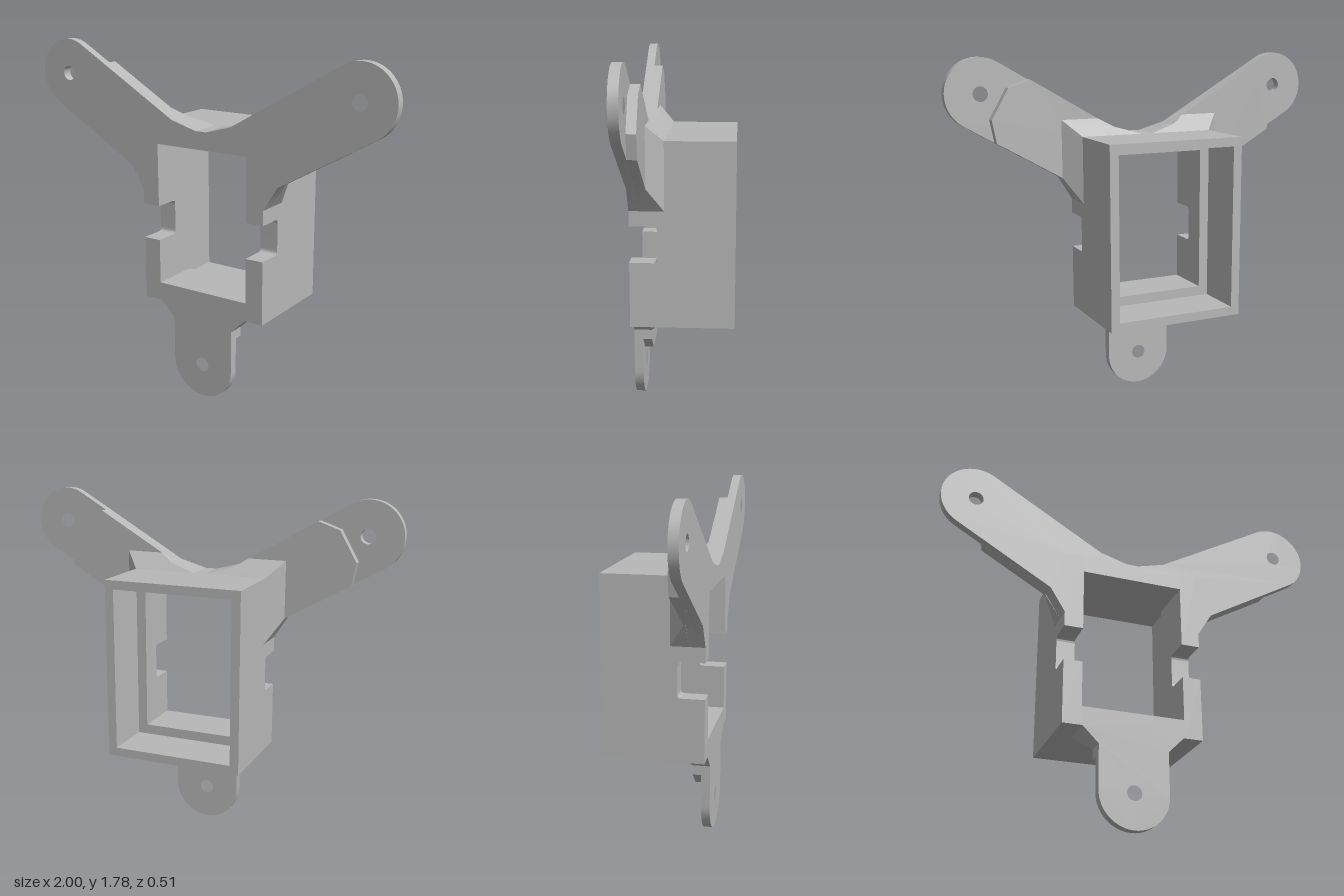
import * as THREE from 'three';
import { toCreasedNormals } from 'three/addons/utils/BufferGeometryUtils.js';
import { ConvexGeometry } from 'three/addons/geometries/ConvexGeometry.js';

// Housing limits and the z levels of the mounting arms
const W = 0.355, BOTTOM = 0.475, TOP = 1.39;
const BACK = -0.255, STEP = 0, FRONT = 0.255;
const PLATE_Z = 0.21, RIB_Z = 0.165, GUSSET_Z = 0.085;
const HUB_Y = 1.129, REACH = 0.954, R = 0.175;

export function createModel() {
  const model = new THREE.Group();
  const grey = new THREE.MeshStandardMaterial({ color: 0xb8b8b8 });

  const add = (name, geometry, parent = model) => {
    const mesh = new THREE.Mesh(geometry, grey);
    mesh.name = name;
    parent.add(mesh);
    return mesh;
  };
  const toShape = (pts) => new THREE.Shape(pts.map(([x, y]) => new THREE.Vector2(x, y)));
  const extrude = (shape, z0, z1) => {
    const g = new THREE.ExtrudeGeometry(shape, { depth: z1 - z0, bevelEnabled: false, curveSegments: 24 });
    g.translate(0, 0, z0);
    return toCreasedNormals(g, 0.5);
  };
  const rect = (x, y0, y1) => [[-x, y0], [x, y0], [x, y1], [-x, y1]];

  // Housing: thin rear frame around the wider recess
  const housing = new THREE.Group();
  housing.name = 'housing';
  model.add(housing);
  const rear = toShape(rect(W, BOTTOM, TOP));
  rear.holes.push(toShape(rect(0.31, 0.52, 1.345)));
  add('rearFrame', extrude(rear, BACK, STEP), housing);

  // Housing: thicker front walls
  const bar = (name, y0, y1) =>
    add(name, extrude(toShape(rect(0.26, y0, y1)), STEP, FRONT), housing);
  bar('frontBottomWall', BOTTOM, 0.57);
  bar('frontTopWall', 1.3, TOP);

  // Side walls, each with a round-cornered notch open to the front
  const wall = new THREE.Shape();
  const n = -0.12, r = 0.02, y0 = 0.8, y1 = 0.98;
  wall.moveTo(-STEP, BOTTOM);
  wall.lineTo(-STEP, TOP);
  wall.lineTo(-FRONT, TOP);
  wall.lineTo(-FRONT, y1);
  wall.lineTo(n - r, y1);
  wall.quadraticCurveTo(n, y1, n, y1 - r);
  wall.lineTo(n, y0 + r);
  wall.quadraticCurveTo(n, y0, n - r, y0);
  wall.lineTo(-FRONT, y0);
  wall.lineTo(-FRONT, BOTTOM);
  wall.closePath();
  for (const [name, x] of [['rightWall', -W], ['leftWall', 0.26]]) {
    add(name, extrude(wall, 0, 0.095).rotateY(Math.PI / 2).translate(x, 0, 0), housing);
  }

  // Arm: a round-ended plate with a hole, backed by a rib with clipped corners
  const addArm = (name, angle, side, rootA, rootB) => {
    const arm = new THREE.Group();
    arm.name = name;
    model.add(arm);
    const c = Math.cos(angle), s = Math.sin(angle);
    const at = (t, w) => [side * (t * c - w * s), HUB_Y + t * s + w * c];
    const flip = (pts) => pts.map(([x, y]) => [side * x, y]);
    const start = flip(rootA), end = flip(rootB);

    const tip = [];
    for (let i = 0; i <= 32; i++) {
      const a = Math.PI / 2 - Math.PI * i / 32;
      tip.push(at(REACH + R * Math.cos(a), R * Math.sin(a)));
    }
    const plate = toShape([...start, ...tip, ...end]);
    const hole = new THREE.Path();
    hole.absarc(...at(REACH, 0), 0.037, 0, Math.PI * 2, true);
    plate.holes.push(hole);
    add('armPlate', extrude(plate, PLATE_Z, FRONT), arm);

    const ribEnd = [at(0.784, R), at(0.859, 0.088), at(0.859, -0.088), at(0.784, -R)];
    add('armRib', extrude(toShape([...start, ...ribEnd, ...end]), RIB_Z, PLATE_Z), arm);
    return arm;
  };

  // Gusset: a convex wedge sloping from the housing to the back of a rib
  const addGusset = (arm, pts) => {
    const hull = [];
    for (const [x, y, z] of pts) {
      hull.push(new THREE.Vector3(x, y, z), new THREE.Vector3(x, y, RIB_Z + 0.01));
    }
    add('gusset', new ConvexGeometry(hull), arm);
  };

  // Upper arms, mirrored
  for (const [name, s] of [['leftArm', 1], ['rightArm', -1]]) {
    const arm = addArm(name, Math.PI / 6, s,
      [[0.03, TOP], [0.17, 1.429]],
      [[0.43, 1.176], [W, 1.055], [W, TOP]]);
    const inner = [s * 0.03, TOP, GUSSET_Z];
    const bend = [s * 0.17, 1.429, GUSSET_Z + 0.039];
    const corner = [s * W, TOP, GUSSET_Z];
    const outer = [s * 0.435, 1.47, RIB_Z];
    addGusset(arm, [inner, bend, corner]);
    addGusset(arm, [bend, [s * 0.241, 1.47, RIB_Z], outer, corner]);
    addGusset(arm, [corner, outer, [s * 0.435, 1.178, RIB_Z], [s * W, 1.055, GUSSET_Z]]);
  }

  // Lower arm
  const lower = addArm('lowerArm', -Math.PI / 2, 1,
    [[0.255, BOTTOM], [R, 0.395]],
    [[-R, 0.395], [-0.255, BOTTOM]]);
  addGusset(lower, [
    [R, 0.395, RIB_Z], [-R, 0.395, RIB_Z],
    [-0.255, BOTTOM, GUSSET_Z], [0.255, BOTTOM, GUSSET_Z],
  ]);

  return model;
}
